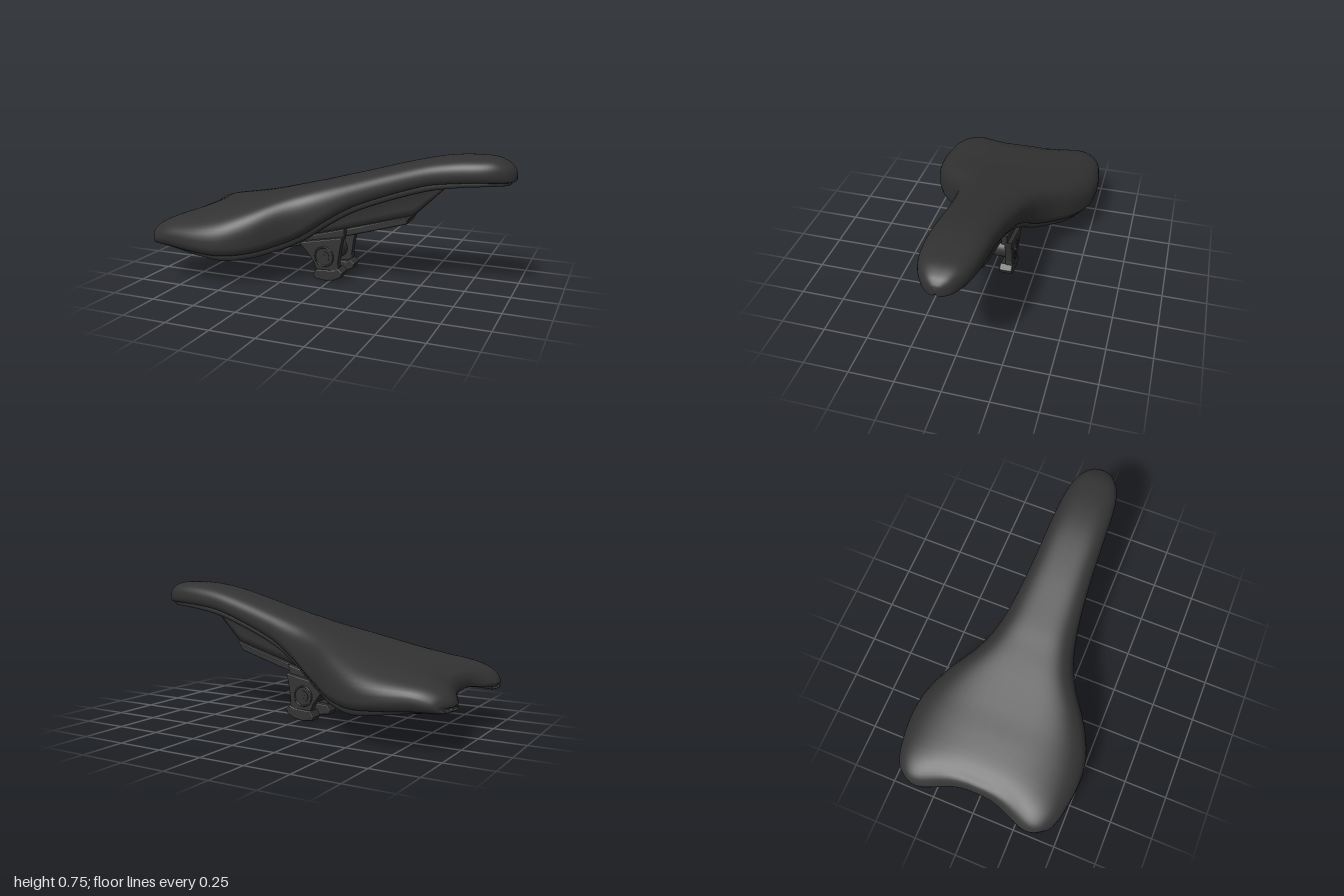
import * as THREE from 'three';

const black = new THREE.MeshStandardMaterial({ color: 0x333333, side: THREE.DoubleSide });
black.name = 'satinBlack';

// Stations from tail to nose: x, half width, crown height, lower edge height
const STATIONS = [
  [-0.925, 0.425, 0.24, 0.215], [-0.915, 0.443, 0.275, 0.207], [-0.88, 0.465, 0.323, 0.204],
  [-0.8, 0.49, 0.368, 0.204], [-0.65, 0.51, 0.405, 0.19], [-0.5, 0.492, 0.437, 0.18],
  [-0.35, 0.42, 0.475, 0.195], [-0.2, 0.312, 0.517, 0.24], [-0.1, 0.258, 0.545, 0.29],
  [0, 0.222, 0.575, 0.36], [0.15, 0.193, 0.617, 0.45], [0.35, 0.173, 0.675, 0.53],
  [0.55, 0.162, 0.727, 0.595], [0.7, 0.155, 0.75, 0.618], [0.82, 0.142, 0.755, 0.627],
  [0.9, 0.118, 0.75, 0.63], [0.96, 0.08, 0.725, 0.631], [0.988, 0.044, 0.698, 0.633],
  [0.997, 0.02, 0.68, 0.637], [1, 0.004, 0.668, 0.645],
];
const SUB = 4;
const { smoothstep } = THREE.MathUtils;

// Catmull-Rom blend between the stations
function station(u) {
  const last = STATIONS.length - 1;
  const i = Math.min(Math.floor(u), last - 1), f = u - i;
  const row = (k) => STATIONS[Math.max(0, Math.min(last, k))];
  const [a, b, c, d] = [row(i - 1), row(i), row(i + 1), row(i + 2)];
  return b.map((p, k) => p + 0.5 * f * (c[k] - a[k]
    + f * (2 * a[k] - 5 * p + 4 * c[k] - d[k] + f * (3 * (p - c[k]) + d[k] - a[k]))));
}

// Smooth skin over closed rings of [x, y, z]; caps pair mirrored ring points
function skin(rings, capped) {
  const M = rings[0].length, idx = [];
  for (let j = 0; j < rings.length - 1; j++) {
    for (let i = 0; i < M; i++) {
      const a = j * M + i, b = j * M + (i + 1) % M;
      idx.push(a, b, a + M, b, b + M, a + M);
    }
  }
  if (capped) {
    const end = (rings.length - 1) * M;
    for (let i = 0; i < M / 2 - 1; i++) {
      const p = i, q = i + 1, r = M - 1 - i, s = M - 2 - i;
      idx.push(p, r, q, q, r, s);
      idx.push(end + p, end + q, end + r, end + q, end + s, end + r);
    }
  }
  const g = new THREE.BufferGeometry();
  g.setAttribute('position', new THREE.Float32BufferAttribute(rings.flat(2), 3));
  g.setIndex(idx);
  g.computeVertexNormals();
  return g;
}

// Sweeps [z, y] rings from tail to nose, with the arched tail notch bent in
function loft(ringAt, capped, nosePull = 0) {
  const rings = [];
  for (let j = 0; j <= (STATIONS.length - 1) * SUB; j++) {
    const [x, w, yt, yb] = station(j / SUB);
    rings.push(ringAt(x, w, yt, yb).map(([z, y]) => {
      const t = Math.abs(z) / w - 0.78;
      const bump = t < 0 ? Math.exp(-((t / 0.36) ** 2)) : Math.exp(-((t / 0.25) ** 2.5));
      const horn = (0.01 - 0.085 * bump) * (1 - smoothstep(x, -0.925, -0.6));
      const arch = 0.03 * (1 - smoothstep(Math.abs(z), 0.03, 0.3)) * (1 - smoothstep(x, -0.925, -0.84));
      return [x + horn - nosePull * smoothstep(x, 0.8, 1), y + arch, z];
    }));
  }
  return skin(rings, capped);
}

// Padded cover: squarish dome, rolled edge, hollow underside
function coverRing(x, w, yt, yb) {
  const N = 34, ring = [];
  const ins = Math.min(0.05, 0.2 * w);
  const h = Math.min(0.05, 0.3 * (yt - yb));
  const yi = yb + Math.min(0.02, 0.3 * (yt - yb));
  const yc = Math.max(yi, yt - 0.1);
  const e = 0.72 - 0.18 * Math.exp(-(((x + 0.2) / 0.27) ** 2));
  const dome = (half, low, high, f) => {
    const a = (f - 0.5) * Math.PI, s = Math.sin(a);
    return [half * Math.sign(s) * Math.abs(s) ** e, low + (high - low) * Math.max(0, Math.cos(a)) ** e];
  };
  const curl = [[w - ins, yb], [w - 0.5 * ins, yb + 0.12 * h], [w - 0.12 * ins, yb + 0.5 * h]];
  for (const [z, y] of curl) ring.push([-z, y]);
  for (let i = 0; i < N; i++) ring.push(dome(w, yb + h, yt, i / (N - 1)));
  for (const p of curl.reverse()) ring.push(p);
  for (let i = N + 5; i >= 0; i--) ring.push(dome(w - 1.6 * ins, yi, yc, i / (N + 5)));
  return ring;
}

// Shell lip that runs just inside the cover edge, broader under the wings
const lipRing = (side) => (x, w, yt, yb) => {
  const ins = Math.min(0.05, 0.2 * w);
  const d = 0.032 * smoothstep(x, -0.95, -0.45) * (1 - 0.4 * smoothstep(x, 0.5, 0.9));
  const wide = 0.7 * smoothstep(w, 0.2, 0.4);
  const ring = [[0.7, 0.015], [0.85, -0.5 * d], [1.05, -0.9 * d], [1.5, -d], [2, -0.9 * d], [2.3, -0.4 * d], [2.5, 0.03]]
    .map(([k, dy]) => [side * (w - (k + wide * Math.max(0, k - 1.05)) * ins), yb + dy]);
  return side > 0 ? ring : ring.reverse();
};

// Keel web: narrow at the rail, flaring into the underside of the shell
function keelWeb() {
  const rings = [], K = 9;
  for (let u = 5; u <= 13; u += 0.125) {
    const [x, w, yt, yb] = station(u);
    if (x > 0.66) break;
    const foot = 0.045 - 0.012 * smoothstep(x, 0.4, 0.66);
    const low = Math.max(0.125 + 0.293 * (x + 0.5), 0.395 + 0.98 * (x - 0.45));
    const high = Math.max(low + 0.01, yb + 0.7 * (yt - 0.1 - yb));
    const top = 0.66 * w;
    const half = [];
    for (let i = 0; i < K; i++) {
      const t = 1 - i / (K - 1);
      half.push([x, low + (high - low) * (1 - (1 - t) ** 2), foot + (top - foot) * t * t]);
    }
    rings.push([...half, ...half.map(([px, y, z]) => [px, y, -z]).reverse()]);
  }
  return skin(rings, true);
}

// Side-view outline given thickness between z0 and z1
function plate(points, z0, z1, bevel = 0.008) {
  const shape = new THREE.Shape(points.map(([x, y]) => new THREE.Vector2(x, y)));
  const g = new THREE.ExtrudeGeometry(shape, {
    depth: z1 - z0 - 2 * bevel, bevelEnabled: true, bevelSize: bevel,
    bevelOffset: -bevel, bevelThickness: bevel, bevelSegments: 2,
  });
  return g.translate(0, 0, z0 + bevel);
}

function add(parent, name, geometry) {
  const mesh = new THREE.Mesh(geometry, black);
  mesh.name = name;
  parent.add(mesh);
}

const pin = (r, z0, z1, sides = 32) =>
  new THREE.CylinderGeometry(r, r, z1 - z0, sides).rotateX(Math.PI / 2).translate(-0.03, 0.142, (z0 + z1) / 2);

export function createModel() {
  const saddle = new THREE.Group();
  saddle.name = 'bicycleSaddle';

  add(saddle, 'cover', loft(coverRing, true));
  add(saddle, 'shellLipLeft', loft(lipRing(1), false, 0.025));
  add(saddle, 'shellLipRight', loft(lipRing(-1), false, 0.025));

  // Keel: flared web under the shell with a wider rail along its foot
  add(saddle, 'keelWeb', keelWeb());
  add(saddle, 'rail', plate([
    [-0.56, 0.165], [-0.535, 0.125], [-0.5, 0.105], [-0.45, 0.1], [0.43, 0.36], [0.462, 0.412], [-0.42, 0.155],
  ], -0.07, 0.07, 0.01));

  // Clamp: cross barrel, plus ears, jaws, hooks and bolts on each side
  const clamp = new THREE.Group();
  clamp.name = 'seatClamp';
  saddle.add(clamp);
  add(clamp, 'barrel', pin(0.058, -0.09, 0.09));
  for (const side of [1, -1]) {
    const half = new THREE.Group();
    half.name = side > 0 ? 'clampLeft' : 'clampRight';
    half.scale.z = side;
    clamp.add(half);
    add(half, 'jaw', plate([[-0.19, 0.235], [-0.18, 0.19], [0.08, 0.245], [0.085, 0.31]], 0.065, 0.105));
    add(half, 'ear', plate([
      [-0.185, 0.205], [-0.135, 0.155], [-0.095, 0.1], [-0.08, 0.06], [0.06, 0.06],
      [0.055, 0.11], [0.065, 0.18], [0.083, 0.265], [-0.17, 0.215],
    ], 0.085, 0.13));
    add(half, 'hook', plate([
      [-0.08, 0.065], [-0.1, 0.03], [-0.09, 0.008], [-0.03, 0], [0.03, 0.008],
      [0.072, 0.03], [0.085, 0.06], [0.055, 0.085], [0.03, 0.07], [-0.05, 0.065],
    ], 0.055, 0.133));
    add(half, 'washerRing', new THREE.TorusGeometry(0.055, 0.005, 8, 32).translate(-0.03, 0.142, 0.13));
    add(half, 'boltHead', pin(0.032, 0.12, 0.134));
    add(half, 'boltSocket', pin(0.014, 0.125, 0.136, 6));
  }
  return saddle;
}
